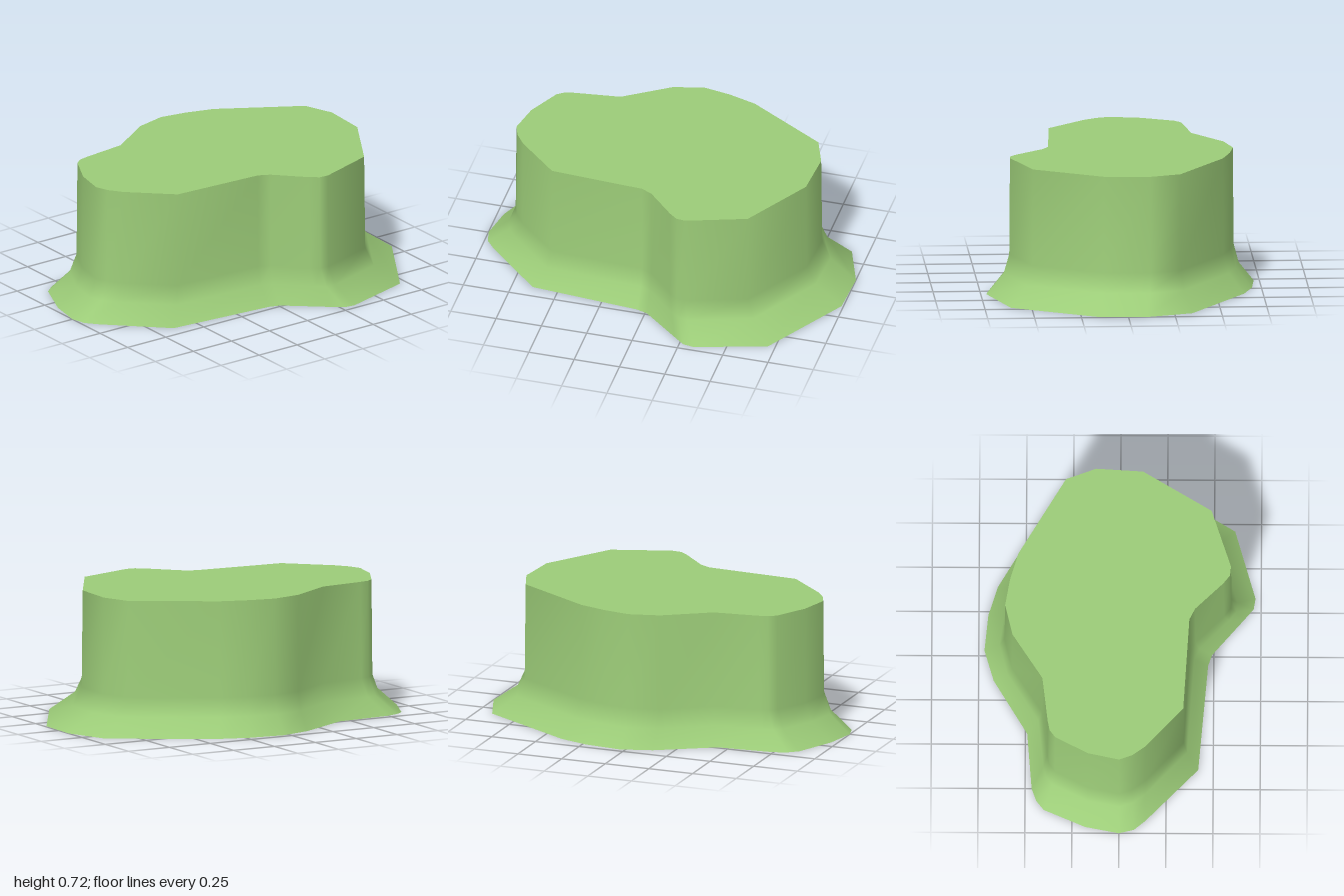
import * as THREE from 'three';

// Matching plan outlines as [x, z], clockwise from above
const FOOT = [
  [-0.10, -1.00], [0.15, -0.99], [0.61, -0.71], [0.72, -0.33], [0.71, -0.27], [0.66, -0.21],
  [0.49, -0.01], [0.47, 0.05], [0.42, 0.64], [0.14, 0.93], [0.08, 0.98], [0.00, 1.00],
  [-0.18, 0.965], [-0.40, 0.87], [-0.44, 0.82], [-0.465, 0.75], [-0.49, 0.44], [-0.67, 0.14],
  [-0.72, -0.03], [-0.70, -0.23], [-0.65, -0.39], [-0.345, -0.91],
];
const CROWN = [
  [-0.13, -0.80], [0.12, -0.785], [0.485, -0.565], [0.59, -0.25], [0.585, -0.20], [0.55, -0.155],
  [0.40, -0.01], [0.37, 0.05], [0.34, 0.555], [0.14, 0.77], [0.07, 0.82], [0.00, 0.845],
  [-0.165, 0.81], [-0.34, 0.72], [-0.37, 0.68], [-0.38, 0.63], [-0.41, 0.385], [-0.57, 0.14],
  [-0.61, -0.025], [-0.585, -0.17], [-0.54, -0.32], [-0.29, -0.74],
];
const HEIGHT = 0.72;
// Levels: [height, spread from crown outline (0) to foot outline (1)]
const LEVELS = [[0, 1], [0.1, 0.27], [0.2, 0.03], [HEIGHT, 0]];

// Smooth wall lofted through the levels
function wallGeometry() {
  const n = CROWN.length;
  const positions = [];
  const indices = [];
  for (const [y, spread] of LEVELS) {
    CROWN.forEach(([x, z], i) => {
      const [fx, fz] = FOOT[i];
      positions.push(x + (fx - x) * spread, y, z + (fz - z) * spread);
    });
  }
  for (let level = 0; level < LEVELS.length - 1; level++) {
    for (let i = 0; i < n; i++) {
      const a = level * n + i;
      const b = level * n + (i + 1) % n;
      indices.push(a, a + n, b, b, a + n, b + n);
    }
  }
  const geometry = new THREE.BufferGeometry();
  geometry.setAttribute('position', new THREE.Float32BufferAttribute(positions, 3));
  geometry.setIndex(indices);
  geometry.computeVertexNormals();
  return geometry;
}

export function createModel() {
  const group = new THREE.Group();
  group.name = 'plateau';
  const material = new THREE.MeshStandardMaterial({ color: 0x9ccc78, side: THREE.DoubleSide });

  // Steep wall with flared foot, open underneath
  const wall = new THREE.Mesh(wallGeometry(), material);
  wall.name = 'flaredWall';
  group.add(wall);

  // Flat top
  const outline = new THREE.Shape(CROWN.map(([x, z]) => new THREE.Vector2(x, -z)));
  const top = new THREE.Mesh(new THREE.ShapeGeometry(outline).rotateX(-Math.PI / 2), material);
  top.position.y = HEIGHT;
  top.name = 'flatTop';
  group.add(top);

  return group;
}
